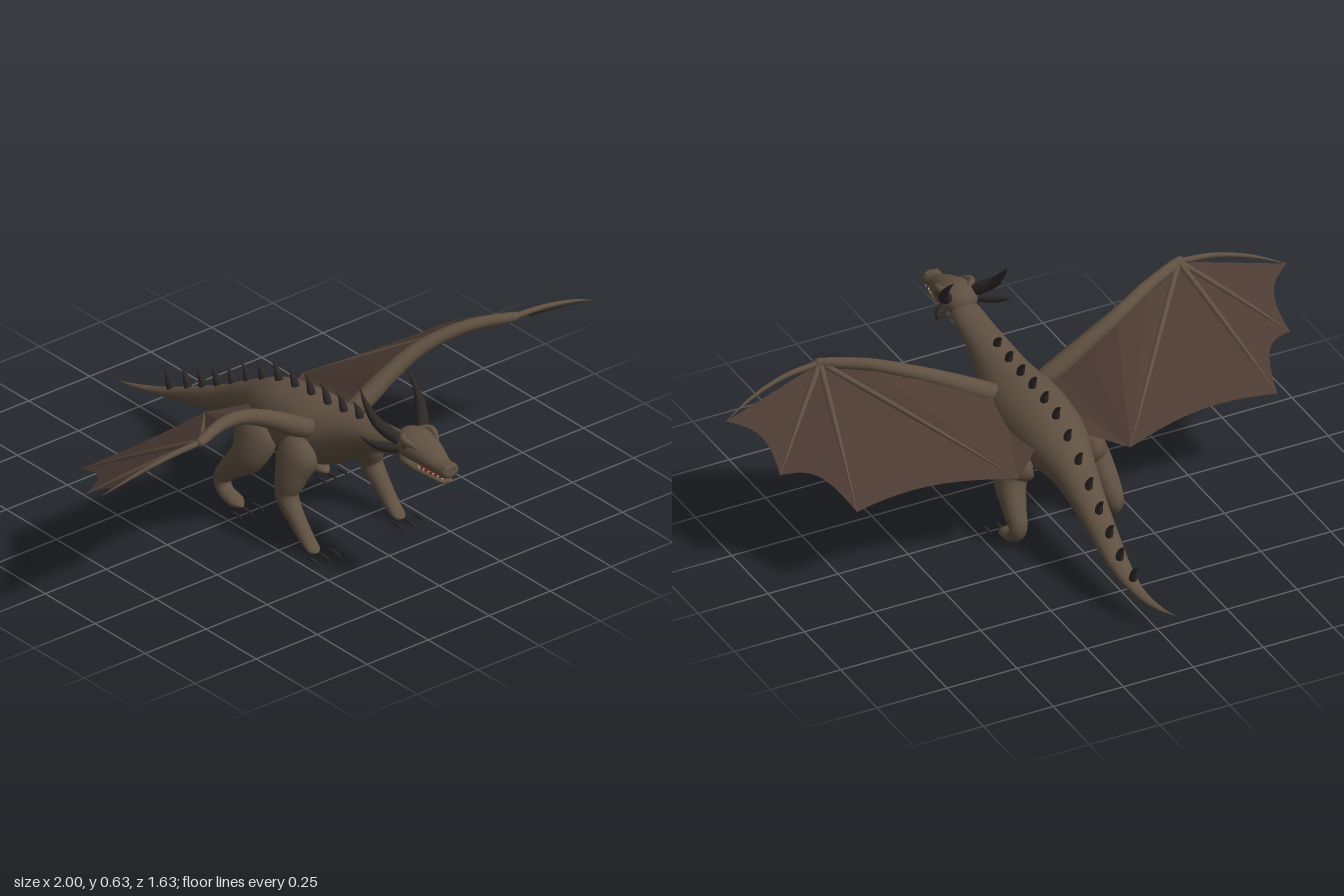
import * as THREE from 'three';
import { mergeVertices } from 'three/addons/utils/BufferGeometryUtils.js';

const mat = (name, color, side = THREE.FrontSide) => {
  const m = new THREE.MeshStandardMaterial({ color, side });
  m.name = name;
  return m;
};

// Smooth tapered form through points [x, y, z, rx, ry], closed by shrinking ends
function taper(keys, steps = 24, sides = 14) {
  const path = new THREE.CatmullRomCurve3(keys.map(k => new THREE.Vector3(k[0], k[1], k[2])), false, 'catmullrom', 0.5);
  path.getPointAt = (t, o) => path.getPoint(t, o);
  path.getTangentAt = (t, o) => path.getTangent(t, o);
  const radii = new THREE.CatmullRomCurve3(
    keys.map(k => new THREE.Vector3(k[3], k[4] ?? k[3], 0)), false, 'catmullrom', 0.5);
  let geo = new THREE.TubeGeometry(path, steps, 1, sides);
  const pos = geo.attributes.position, p = new THREE.Vector3();
  for (let i = 0; i < pos.count; i++) {
    const t = Math.floor(i / (sides + 1)) / steps;
    const c = path.getPoint(t), r = radii.getPoint(t);
    const rx = Math.max(r.x, 0.0004), ry = Math.max(r.y, 0.0004);
    p.fromBufferAttribute(pos, i).sub(c);
    pos.setXYZ(i, c.x + p.x * rx, c.y + p.y * ry, c.z + p.z * ry);
  }
  geo.deleteAttribute('uv');
  geo.deleteAttribute('normal');
  geo = mergeVertices(geo, 1e-5);
  geo.computeVertexNormals();
  return geo;
}

// Neck, trunk and tail, front to back
const BODY = [
  [0, 0.452, 0.63, 0.03, 0.025], [0, 0.437, 0.57, 0.05, 0.036], [0, 0.42, 0.5, 0.057, 0.04],
  [0, 0.398, 0.41, 0.067, 0.052], [0, 0.355, 0.3, 0.09, 0.08], [0, 0.322, 0.2, 0.12, 0.104],
  [0, 0.31, 0.08, 0.125, 0.11], [0, 0.302, -0.05, 0.11, 0.098], [0.003, 0.272, -0.18, 0.076, 0.067],
  [0.01, 0.22, -0.31, 0.056, 0.046], [0.018, 0.17, -0.43, 0.045, 0.034], [0.025, 0.125, -0.55, 0.034, 0.023],
  [0.016, 0.09, -0.66, 0.02, 0.014], [-0.008, 0.076, -0.75, 0.01, 0.008], [-0.033, 0.079, -0.815, 0, 0],
];

// Centre x and top y of the back at a given z
function backAt(z) {
  const i = BODY.findIndex(k => k[2] <= z), a = BODY[i - 1], b = BODY[i];
  const t = (a[2] - z) / (a[2] - b[2]);
  return [a[0] + (b[0] - a[0]) * t, a[1] + a[4] + (b[1] + b[4] - a[1] - a[4]) * t];
}

export function createModel() {
  const root = new THREE.Group();
  root.name = 'dragon';
  const skin = mat('brown skin', 0x5f5041);
  const web = mat('wing membrane', 0x4c3b33, THREE.DoubleSide);
  const horn = mat('dark horn', 0x2d2826);
  const mouthRed = mat('mouth red', 0x6b2a26);
  const tooth = mat('tooth ivory', 0xcfc4ac);
  const eyeDark = mat('eye', 0x4a3418);
  const add = (name, geo, material, parent = root) => {
    const m = new THREE.Mesh(geo, material);
    m.name = name;
    parent.add(m);
    return m;
  };
  const ball = (name, x, y, z, rx, ry, rz, material, parent) => {
    const m = add(name, new THREE.SphereGeometry(1, 18, 12), material, parent);
    m.position.set(x, y, z);
    m.scale.set(rx, ry, rz);
    return m;
  };

  add('body', taper(BODY, 90, 28), skin);

  // Head
  const head = new THREE.Group();
  head.name = 'head';
  root.add(head);
  add('skull', taper([
    [0, 0.46, 0.555, 0, 0], [0, 0.463, 0.58, 0.048, 0.04], [0, 0.469, 0.635, 0.066, 0.048],
    [0, 0.459, 0.7, 0.054, 0.039], [0, 0.443, 0.76, 0.036, 0.027], [0, 0.44, 0.8, 0.034, 0.025],
    [0, 0.438, 0.812, 0.026, 0.018], [0, 0.438, 0.816, 0, 0],
  ], 48, 22), skin, head);
  add('lowerJaw', taper([
    [0, 0.42, 0.575, 0, 0], [0, 0.417, 0.6, 0.042, 0.022], [0, 0.406, 0.66, 0.042, 0.014],
    [0, 0.401, 0.73, 0.031, 0.01], [0, 0.4, 0.785, 0.024, 0.008], [0, 0.401, 0.8, 0, 0],
  ], 36, 18), skin, head);
  ball('mouth', 0, 0.412, 0.715, 0.027, 0.006, 0.082, mouthRed, head);

  // Row of spines along the back
  for (let i = 0; i < 13; i++) {
    const z = 0.345 - i * 0.081, [x, y] = backAt(z);
    const h = 0.04 + 0.026 * Math.sin(Math.PI * Math.min(1, (i + 0.5) / 10) * 0.62);
    add('backSpine', taper([
      [x, y - 0.012, z + 0.012, 0.012, 0.014], [x, y + h * 0.35, z + 0.003, 0.013, 0.012],
      [x, y + h * 0.75, z - 0.01, 0.007, 0.006], [x, y + h, z - 0.03, 0, 0],
    ], 10, 8), horn);
  }

  for (const s of [1, -1]) {
    const side = s > 0 ? 'left' : 'right';
    const limb = (name, keys, material, parent, steps, sides) =>
      add(name, taper(keys.map(([x, ...r]) => [s * x, ...r]), steps, sides), material, parent);

    // Horns, ear spikes, brows, eyes, nostrils and teeth
    limb(side + 'Horn', [[0.035, 0.475, 0.615, 0.014, 0.014], [0.065, 0.505, 0.585, 0.021, 0.021],
      [0.09, 0.54, 0.545, 0.017, 0.017], [0.1, 0.59, 0.505, 0.009, 0.009], [0.095, 0.636, 0.465, 0, 0]], horn, head);
    limb(side + 'EarSpike', [[0.045, 0.46, 0.615, 0.013, 0.015], [0.08, 0.462, 0.585, 0.016, 0.016],
      [0.108, 0.468, 0.55, 0.01, 0.011], [0.13, 0.487, 0.508, 0, 0]], horn, head);
    limb(side + 'Brow', [[0.03, 0.505, 0.61, 0.006], [0.055, 0.503, 0.635, 0.013],
      [0.052, 0.497, 0.665, 0.011], [0.036, 0.482, 0.7, 0.002]], skin, head, 14, 10);
    ball(side + 'Eye', s * 0.056, 0.485, 0.648, 0.011, 0.01, 0.013, eyeDark, head);
    ball(side + 'Nostril', s * 0.018, 0.457, 0.8, 0.008, 0.006, 0.01, skin, head);
    for (let i = 0; i < 6; i++) {
      const t = add('tooth', new THREE.ConeGeometry(0.003, 0.012, 6), tooth, head);
      t.position.set(s * (0.024 + 0.002 * (5 - i)), 0.414, 0.69 + i * 0.021);
      t.rotation.x = Math.PI;
    }

    // Legs
    limb(side + 'FrontLeg', [[0.08, 0.33, 0.2, 0.02, 0.02], [0.125, 0.285, 0.2, 0.055, 0.075],
      [0.158, 0.215, 0.2, 0.05, 0.055], [0.172, 0.15, 0.2, 0.039, 0.036], [0.175, 0.09, 0.25, 0.03, 0.028],
      [0.175, 0.037, 0.305, 0.026, 0.02], [0.175, 0.014, 0.34, 0.022, 0.011], [0.175, 0.011, 0.357, 0, 0]], skin, root, 40, 18);
    limb(side + 'HindLeg', [[0.07, 0.29, -0.03, 0.02, 0.02], [0.115, 0.26, -0.02, 0.05, 0.08],
      [0.148, 0.195, -0.025, 0.052, 0.064], [0.166, 0.13, -0.085, 0.04, 0.04], [0.172, 0.078, -0.125, 0.031, 0.028],
      [0.174, 0.036, -0.105, 0.028, 0.022], [0.175, 0.022, -0.05, 0.028, 0.017], [0.175, 0.014, -0.015, 0, 0]], skin, root, 40, 18);

    // Claws, three to a foot
    for (const z of [0.355, -0.032]) for (const x of [0.132, 0.176, 0.22])
      limb('claw', [[x, 0.01, z, 0.002], [x, 0.012, z + 0.02, 0.006],
        [x, 0.013, z + 0.045, 0.005], [x, 0.002, z + 0.075, 0]], horn, root, 10, 7);

    // Wing bones: arm, then fingers spreading from the wrist
    const wing = new THREE.Group();
    wing.name = side + 'Wing';
    root.add(wing);
    const arm = [[0.06, 0.36, 0.205, 0.026], [0.13, 0.39, 0.207, 0.034], [0.24, 0.455, 0.21, 0.03],
      [0.36, 0.515, 0.225, 0.025], [0.5, 0.56, 0.275, 0.021], [0.64, 0.572, 0.338, 0.016]];
    const wrist = arm[5];
    const tips = [[1, 0.485, 0.29], [0.91, 0.37, 0.09], [0.75, 0.31, -0.13], [0.2, 0.3, -0.18]];
    limb('wingArm', [...arm, [0.65, 0.572, 0.341, 0]], skin, wing, 40, 14);
    ball('wrist', s * 0.64, 0.573, 0.338, 0.018, 0.015, 0.016, skin, wing);
    tips.forEach((t, i) => {
      const lift = i === 0 ? 0.022 : 0.004;
      const at = (u, r) => [0, 1, 2].map(a => wrist[a] + (t[a] - wrist[a]) * u +
        (a === 1 ? lift : a === 2 && i === 0 ? 0.014 : 0) * 4 * u * (1 - u)).concat(r);
      limb('wingFinger', [at(0, 0.011), at(0.35, 0.009), at(0.7, 0.006), at(1, 0.001)], skin, wing, 18, 8);
    });

    // Membrane: scalloped fans between the fingers, and a panel behind the arm
    const verts = [];
    const tri = (...pts) => pts.forEach(p => verts.push(s * p[0], p[1], p[2]));
    for (let i = 0; i < 3; i++) {
      const a = tips[i], b = tips[i + 1], n = 10, sag = i === 2 ? 0.07 : 0.13;
      const edge = u => [0, 1, 2].map(k => {
        const line = a[k] + (b[k] - a[k]) * u;
        return line + (wrist[k] - line) * sag * 4 * u * (1 - u);
      });
      for (let j = 0; j < n; j++) tri(wrist, edge(j / n), edge((j + 1) / n));
    }
    const hub = tips[3], rim = [[0.09, 0.33, -0.09], ...arm];
    for (let i = 0; i < rim.length - 1; i++) tri(hub, rim[i], rim[i + 1]);
    const sheet = new THREE.BufferGeometry();
    sheet.setAttribute('position', new THREE.Float32BufferAttribute(verts, 3));
    sheet.computeVertexNormals();
    add('wingMembrane', sheet, web, wing);
  }
  return root;
}
